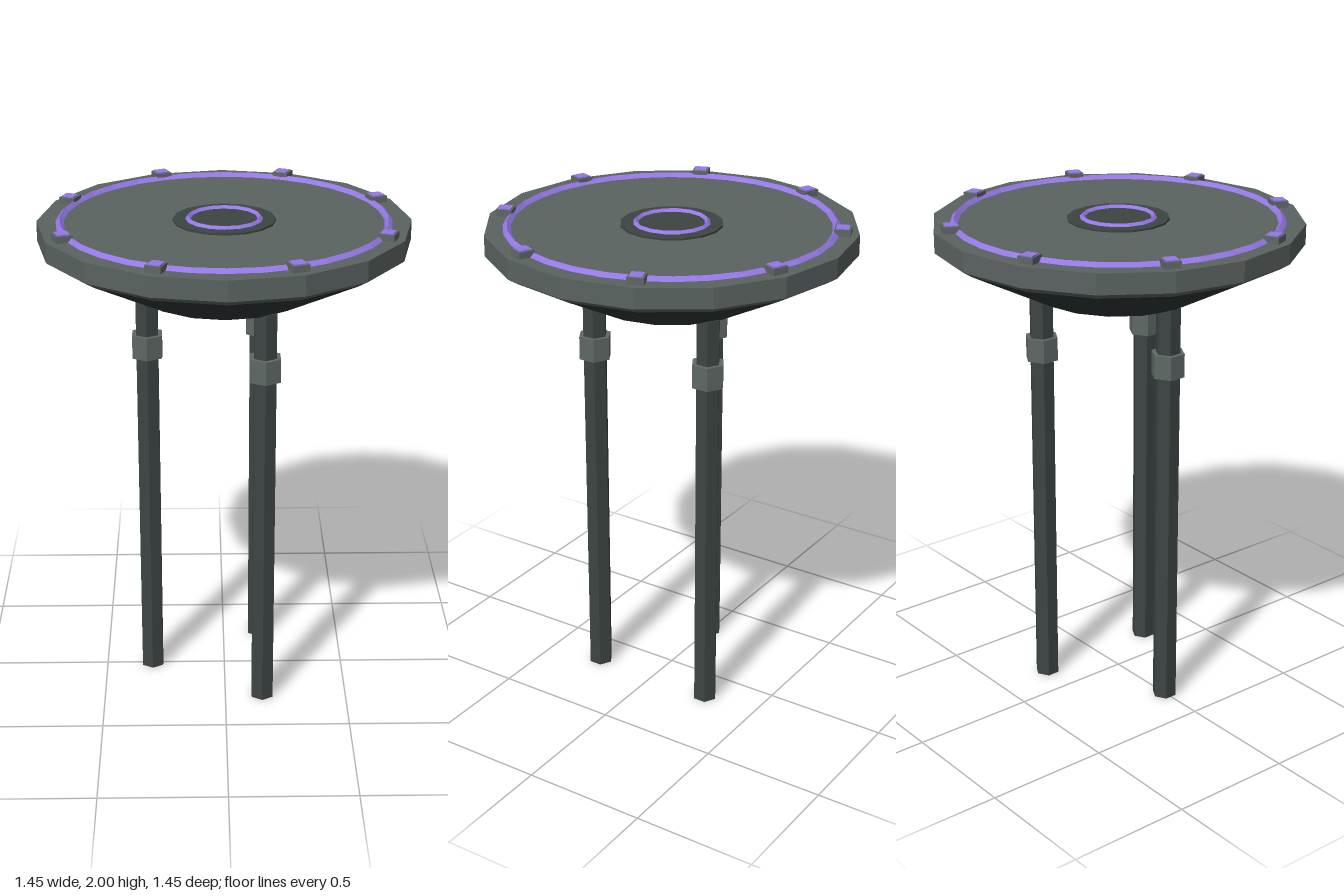
import * as THREE from 'three';

const mat = (color, side = THREE.FrontSide) =>
  new THREE.MeshStandardMaterial({ color, side, flatShading: true });

export function createModel() {
  const model = new THREE.Group();
  const plate = mat(0x5a6361, THREE.DoubleSide);
  const bowl = mat(0x2f3635, THREE.DoubleSide);
  const dark = mat(0x3c4543);
  const grey = mat(0x5f6866);
  const glow = mat(0x9478e6);

  const add = (name, geometry, material, x = 0, y = 0, z = 0, parent = model) => {
    const mesh = new THREE.Mesh(geometry, material);
    mesh.name = name;
    mesh.position.set(x, y, z);
    parent.add(mesh);
    return mesh;
  };
  const lathe = (points) =>
    new THREE.LatheGeometry(points.map(([r, y]) => new THREE.Vector2(r, y)), 16);

  // Sixteen-sided dish: open funnel below, chamfered rim and flat top above
  add('funnel', lathe([[0.33, 1.68], [0.685, 1.865]]), bowl);
  add('topPlate', lathe([[0.685, 1.865], [0.725, 1.89], [0.725, 1.97], [0, 1.97]]), plate);

  // Raised centre disc and the two glowing rings
  add('centreDisc', new THREE.CylinderGeometry(0.2, 0.2, 0.02, 16), dark, 0, 1.968, 0);
  const ring = (name, radius, tube, segments, y) => {
    const geometry = new THREE.TorusGeometry(radius, tube, 4, segments).rotateX(Math.PI / 2);
    add(name, geometry, glow, 0, y, 0);
  };
  ring('outerRing', 0.635, 0.016, 32, 1.97);
  ring('innerRing', 0.14, 0.012, 16, 1.977);

  // Eight lamps along the outer ring
  for (let i = 0; i < 8; i++) {
    const a = ((i + 0.5) * Math.PI) / 4;
    const lamp = new THREE.Group();
    lamp.name = 'rimLamp';
    lamp.position.set(Math.sin(a) * 0.66, 0, Math.cos(a) * 0.66);
    lamp.rotation.y = a;
    add('lampBase', new THREE.BoxGeometry(0.064, 0.036, 0.064), grey, 0, 1.978, 0, lamp);
    add('lampTop', new THREE.BoxGeometry(0.05, 0.008, 0.05), glow, 0, 1.996, 0, lamp);
    model.add(lamp);
  }

  // Three hexagonal legs with collars
  for (let i = 0; i < 3; i++) {
    const a = Math.PI + (i * Math.PI * 2) / 3;
    const x = Math.cos(a) * 0.306, z = Math.sin(a) * 0.306;
    add('leg', new THREE.CylinderGeometry(0.05, 0.05, 1.69, 6), dark, x, 0.845, z);
    add('legCollar', new THREE.CylinderGeometry(0.068, 0.068, 0.095, 6), grey, x, 1.46, z);
  }
  return model;
}
